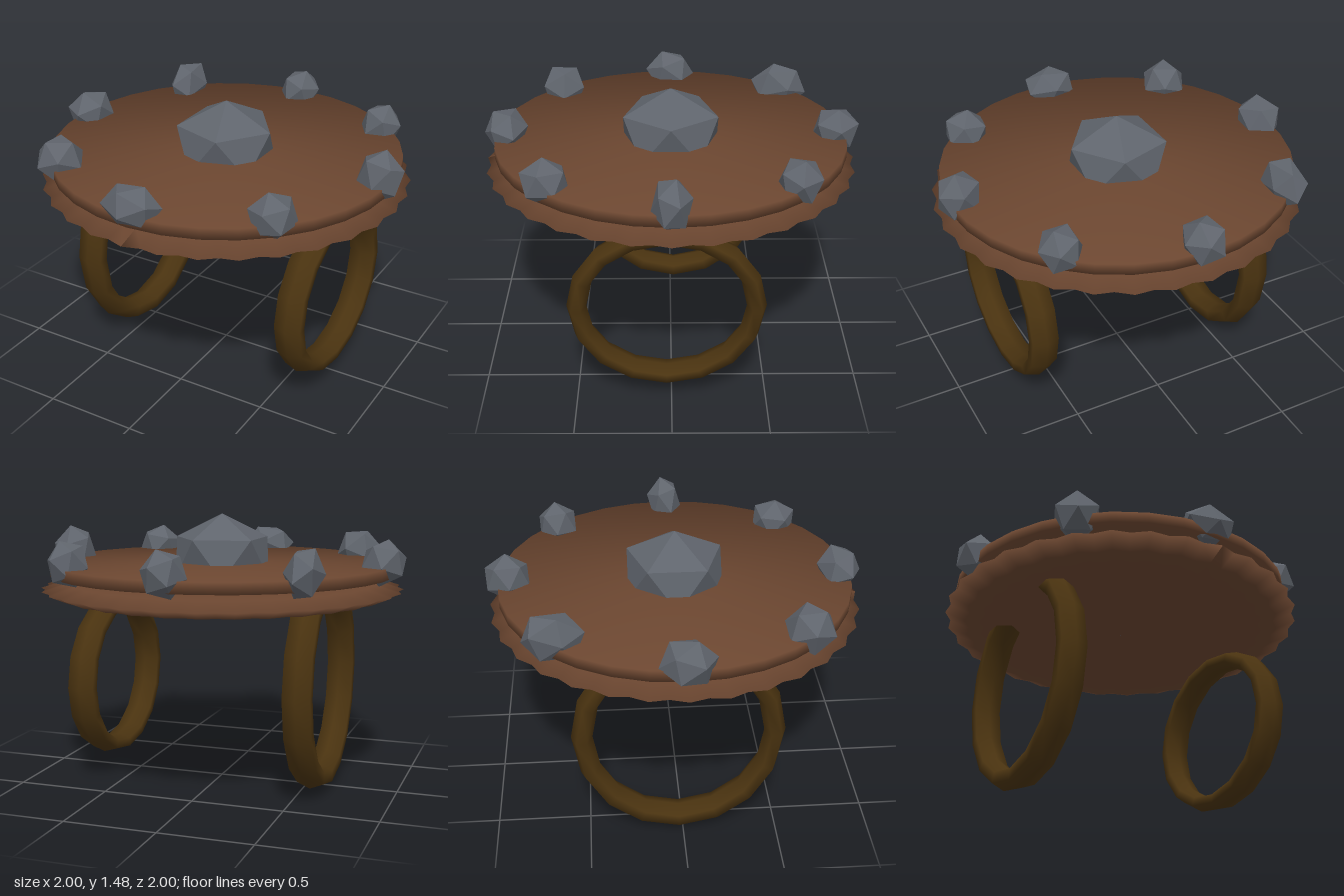
import * as THREE from 'three';

const wood = new THREE.MeshStandardMaterial({ color: 0x6b4630 });
wood.name = 'brown wood';
const leather = new THREE.MeshStandardMaterial({ color: 0x4a3310 });
leather.name = 'dark leather';
const stone = new THREE.MeshStandardMaterial({ color: 0x5f646c });
stone.name = 'grey stone';

function part(name, geometry, material, x = 0, y = 0, z = 0) {
  const mesh = new THREE.Mesh(geometry, material);
  mesh.name = name;
  mesh.position.set(x, y, z);
  return mesh;
}

// Lens-shaped disc whose rim is fluted in 32 waves
function flutedDisc() {
  const profile = [
    [0, 1.02], [0.4, 1.022], [0.72, 1.032], [0.88, 1.045], [0.99, 1.09],
    [0.86, 1.13], [0.7, 1.145], [0.4, 1.155], [0, 1.16],
  ].map(([r, y]) => new THREE.Vector2(r, y));
  const geometry = new THREE.LatheGeometry(profile, 64);
  const pos = geometry.attributes.position;
  for (let i = 0; i < pos.count; i++) {
    const x = pos.getX(i), z = pos.getZ(i);
    if (Math.hypot(x, z) < 0.8) continue;
    const s = 0.9875 + 0.0125 * Math.cos(32 * Math.atan2(z, x));
    pos.setX(i, x * s);
    pos.setZ(i, z * s);
  }
  geometry.computeVertexNormals();
  return geometry;
}

// Thin plate with normals blended softly from the centre over the edge
function softPlate(radius, height) {
  const geometry = new THREE.CylinderGeometry(radius, radius, height, 32);
  const { position, normal } = geometry.attributes;
  const n = new THREE.Vector3();
  for (let i = 0; i < position.count; i++) {
    n.set(position.getX(i) / radius, Math.sign(position.getY(i)), position.getZ(i) / radius).normalize();
    normal.setXYZ(i, n.x, n.y, n.z);
  }
  return geometry;
}

// Faceted stone, turned and then fitted to a box of the given size
function stoneGeometry(size, turn) {
  const geometry = new THREE.IcosahedronGeometry(1, 0);
  geometry.rotateX(turn[0]).rotateY(turn[1]).rotateZ(turn[2]);
  geometry.computeBoundingBox();
  const box = geometry.boundingBox.getSize(new THREE.Vector3());
  geometry.scale(size[0] / box.x, size[1] / box.y, size[2] / box.z);
  geometry.computeVertexNormals();
  return geometry;
}

// Upright oval loop; width and height are the outer half sizes
function strapGeometry(width, height) {
  const geometry = new THREE.TorusGeometry(0.9, 0.1, 6, 16);
  geometry.rotateY(Math.PI / 2);
  geometry.scale(0.073 / 0.0866, height, width);
  return geometry;
}

export function createModel() {
  const model = new THREE.Group();
  model.name = 'studdedShield';

  model.add(part('flutedDisc', flutedDisc(), wood));
  model.add(part('topPlate', softPlate(0.94, 0.06), wood, 0, 1.2, 0));

  // Central boss with one corner pointing straight up
  const boss = new THREE.IcosahedronGeometry(0.295, 0);
  boss.rotateZ(-Math.atan(2 / (1 + Math.sqrt(5))));
  boss.scale(1, 0.8, 1);
  model.add(part('centreStone', boss, stone, 0, 1.254, 0));

  // Rim stones: centre x, y, z and size x, y, z
  const rim = [
    [0.89, 1.265, 0, 0.225, 0.28, 0.2],
    [0.615, 1.25, 0.62, 0.22, 0.24, 0.24],
    [-0.01, 1.255, 0.88, 0.29, 0.2, 0.235],
    [-0.635, 1.25, 0.62, 0.255, 0.22, 0.24],
    [-0.895, 1.25, 0, 0.21, 0.24, 0.285],
    [-0.63, 1.255, -0.635, 0.19, 0.24, 0.315],
    [-0.005, 1.255, -0.885, 0.23, 0.24, 0.235],
    [0.625, 1.255, -0.63, 0.23, 0.24, 0.21],
  ];
  rim.forEach(([x, y, z, ...size], i) => {
    const turn = [0.4 + i * 1.3, 0.9 + i * 2.1, 0.5 + i * 0.7];
    model.add(part('rimStone' + (i + 1), stoneGeometry(size, turn), stone, x, y, z));
  });

  // Arm loops below the disc
  model.add(part('leftStrap', strapGeometry(0.515, 0.463), leather, 0.652, 0.56, 0.025));
  model.add(part('rightStrap', strapGeometry(0.56, 0.6), leather, -0.572, 0.61, -0.02));

  return model;
}
